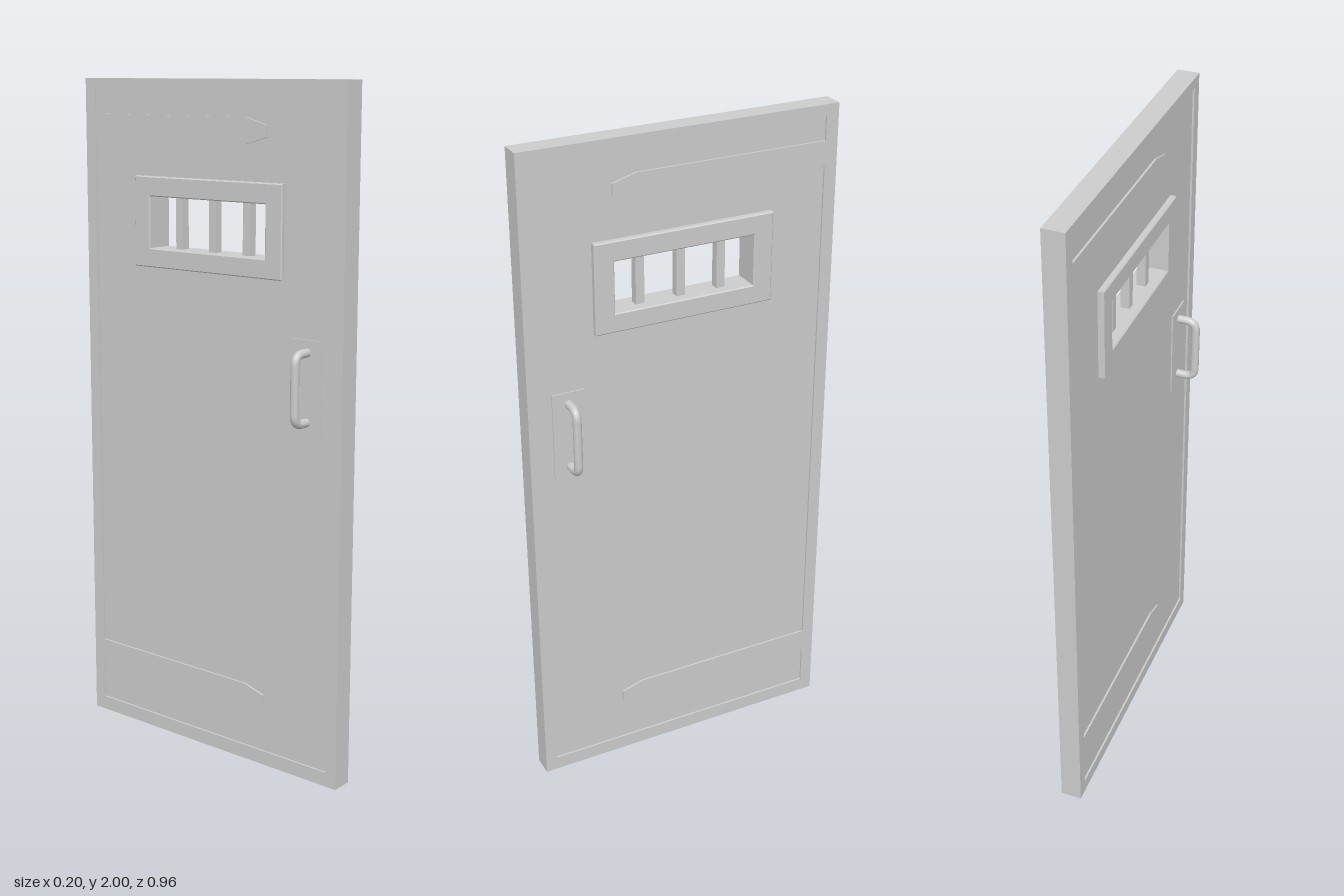
import * as THREE from 'three';

const material = new THREE.MeshStandardMaterial({ color: 0xcccccc });

// Closed outline from corner points given as [z, y]
const outline = (pts, Type = THREE.Shape) => new Type(pts.map(([z, y]) => new THREE.Vector2(z, y)));
const rect = (z0, z1, y0, y1, Type) => outline([[z0, y0], [z1, y0], [z1, y1], [z0, y1]], Type);

// Extrude an outline drawn in the z-y plane, centred on x = 0
function slab(shape, thickness, bevel = 0) {
  const depth = thickness - 2 * bevel;
  const geometry = new THREE.ExtrudeGeometry(shape, {
    depth, bevelEnabled: bevel > 0, bevelThickness: bevel, bevelSize: bevel,
    bevelOffset: -bevel, bevelSegments: 1,
  });
  return geometry.translate(0, 0, -depth / 2).rotateY(-Math.PI / 2);
}

export function createModel() {
  const door = new THREE.Group();
  door.name = 'door';
  const add = (name, geometry) => {
    const mesh = new THREE.Mesh(geometry, material);
    mesh.name = name;
    door.add(mesh);
    return mesh;
  };

  // Border frame with two pointed hinge straps reaching in from the hinge side
  const strap = (y) => [
    [-0.44, y - 0.036], [0.14, y - 0.036], [0.21, y - 0.016],
    [0.21, y + 0.016], [0.14, y + 0.036], [-0.44, y + 0.036],
  ];
  const frame = rect(-0.478, 0.478, 0, 2);
  frame.holes.push(outline([
    [-0.44, 0.043], ...strap(0.203), ...strap(1.861),
    [-0.44, 1.969], [0.442, 1.969], [0.442, 0.043],
  ], THREE.Path));
  add('frameWithHingeStraps', slab(frame, 0.064));

  // Recessed panel with the window opening
  const panel = rect(-0.46, 0.46, 0.02, 1.98);
  panel.holes.push(rect(-0.214, 0.214, 1.513, 1.664, THREE.Path));
  add('panel', slab(panel, 0.052));

  // Raised window surround on both faces
  const surround = rect(-0.273, 0.273, 1.457, 1.722);
  surround.holes.push(rect(-0.214, 0.214, 1.513, 1.664, THREE.Path));
  add('windowSurround', slab(surround, 0.087, 0.003));

  // Window bars
  for (const z of [-0.125, 0, 0.125]) {
    add('windowBar', new THREE.BoxGeometry(0.026, 0.17, 0.026)).position.set(0, 1.5885, z);
  }

  // Handle plates and round pull handles on both faces
  add('handlePlates', slab(rect(0.305, 0.405, 1.03, 1.3), 0.06));
  const r = 0.03, reach = 0.0855, low = 1.0675, high = 1.2645;
  const v = (x, y) => new THREE.Vector3(x, y, 0.356);
  for (const side of [-1, 1]) {
    const path = new THREE.CurvePath();
    const x = side * reach, bend = side * (reach - r);
    path.add(new THREE.LineCurve3(v(side * 0.02, low), v(bend, low)));
    path.add(new THREE.QuadraticBezierCurve3(v(bend, low), v(x, low), v(x, low + r)));
    path.add(new THREE.LineCurve3(v(x, low + r), v(x, high - r)));
    path.add(new THREE.QuadraticBezierCurve3(v(x, high - r), v(x, high), v(bend, high)));
    path.add(new THREE.LineCurve3(v(bend, high), v(side * 0.02, high)));
    add(side > 0 ? 'leftHandle' : 'rightHandle', new THREE.TubeGeometry(path, 64, 0.0125, 16));
  }
  return door;
}
